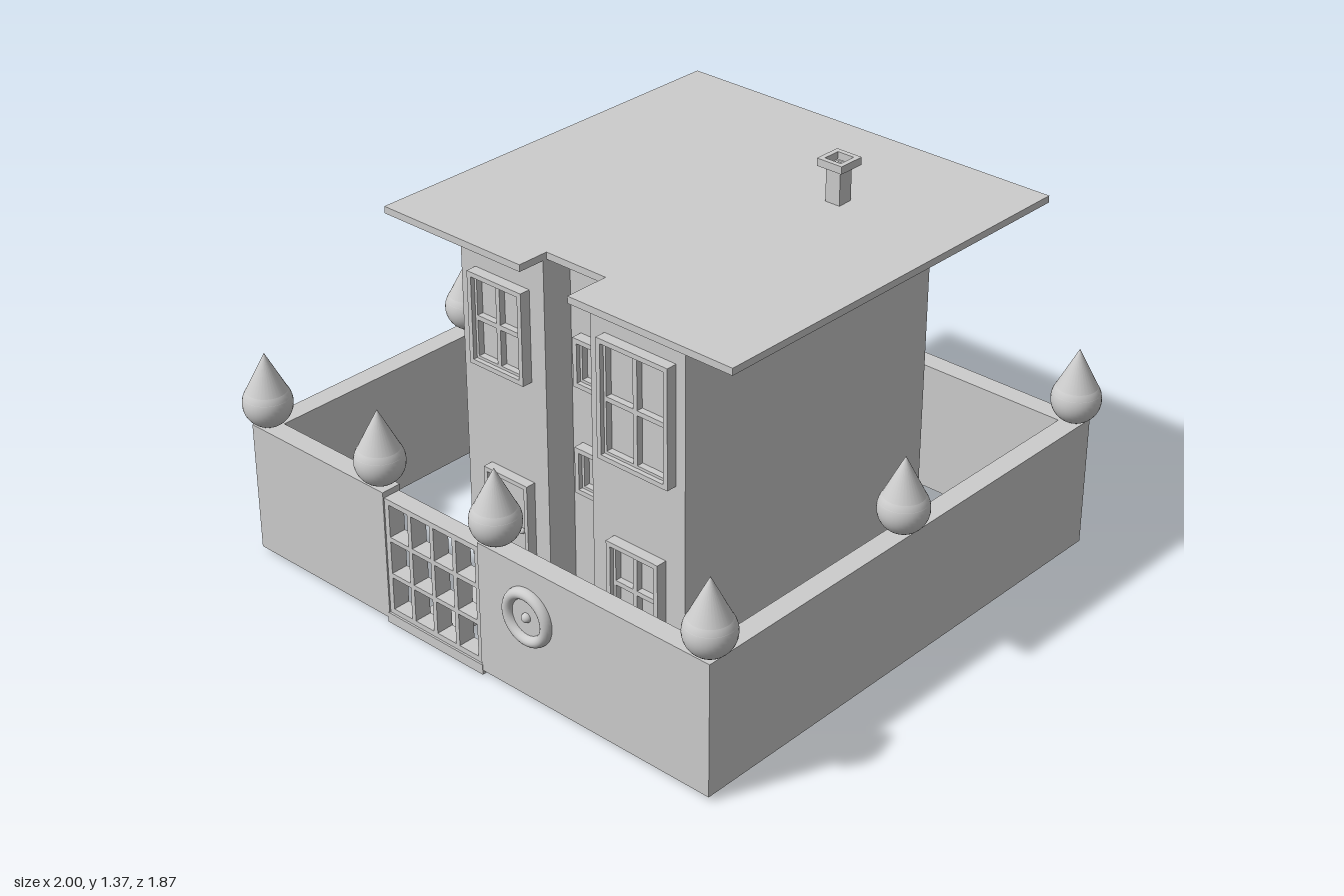
import * as THREE from 'three';

const stone = new THREE.MeshStandardMaterial({ color: 0xcccccc });
stone.name = 'light grey stone';

export function createModel() {
  const model = new THREE.Group();
  model.name = 'walledHouse';

  const add = (name, geometry, x = 0, y = 0, z = 0, parent = model) => {
    const mesh = new THREE.Mesh(geometry, stone);
    mesh.name = name;
    mesh.position.set(x, y, z);
    parent.add(mesh);
    return mesh;
  };
  // Box given by its two extreme corners
  const box = (name, x0, x1, y0, y1, z0, z1, parent = model) =>
    add(name, new THREE.BoxGeometry(x1 - x0, y1 - y0, z1 - z0),
      (x0 + x1) / 2, (y0 + y1) / 2, (z0 + z1) / 2, parent);
  // Floor plan [x, z] raised from y0 to y1
  const slab = (name, plan, y0, y1) => {
    const shape = new THREE.Shape(plan.map(([x, z]) => new THREE.Vector2(x, -z)));
    const geo = new THREE.ExtrudeGeometry(shape, { depth: y1 - y0, bevelEnabled: false });
    geo.rotateX(-Math.PI / 2);
    add(name, geo, 0, y0, 0);
  };
  const rect = (x0, x1, y0, y1, Type = THREE.Path) =>
    new Type([[x0, y0], [x1, y0], [x1, y1], [x0, y1]].map(p => new THREE.Vector2(...p)));

  // House body and overhanging roof share a plan with a front recess
  slab('houseBody', [[-0.385, -0.545], [0.56, -0.545], [0.56, 0.56], [0.195, 0.56],
    [0.195, 0.4], [-0.04, 0.4], [-0.04, 0.51], [-0.385, 0.51]], 0.05, 1.205);
  slab('roof', [[-0.61, -0.79], [0.81, -0.79], [0.81, 0.65], [0.195, 0.65],
    [0.195, 0.495], [-0.04, 0.495], [-0.04, 0.605], [-0.61, 0.605]], 1.205, 1.228);

  // Hollow chimney with a wider cap
  const tube = (name, r, hole, y0, y1) => {
    const shape = rect(-r, r, -r, r, THREE.Shape);
    shape.holes.push(rect(-hole, hole, -hole, hole));
    const geo = new THREE.ExtrudeGeometry(shape, { depth: y1 - y0, bevelEnabled: false });
    geo.rotateX(-Math.PI / 2);
    add(name, geo, 0.364, y0, -0.335);
  };
  tube('chimneyShaft', 0.027, 0.018, 1.22, 1.345);
  tube('chimneyCap', 0.047, 0.03, 1.345, 1.37);
  box('chimneyFlue', 0.34, 0.388, 1.225, 1.335, -0.359, -0.311);

  // Window: deep outer trim and a shallower sash with panes
  const grille = (name, x0, x1, y0, y1, edge, cols, rows, bar, z, depth, parent) => {
    const shape = rect(x0, x1, y0, y1, THREE.Shape);
    const w = (x1 - x0 - 2 * edge - (cols - 1) * bar) / cols;
    const h = (y1 - y0 - 2 * edge - (rows - 1) * bar) / rows;
    for (let i = 0; i < cols; i++) for (let j = 0; j < rows; j++) {
      const x = x0 + edge + i * (w + bar), y = y0 + edge + j * (h + bar);
      shape.holes.push(rect(x, x + w, y, y + h));
    }
    add(name, new THREE.ExtrudeGeometry(shape, { depth, bevelEnabled: false }), 0, 0, z, parent);
  };
  const windowUnit = (name, x0, x1, y0, y1, z, cols, rows) => {
    const g = new THREE.Group();
    g.name = name;
    model.add(g);
    grille('windowTrim', x0, x1, y0, y1, 0.016, 1, 1, 0, z, 0.037, g);
    grille('windowSash', x0 + 0.016, x1 - 0.016, y0 + 0.016, y1 - 0.016,
      0.009, cols, rows, 0.016, z, 0.022, g);
  };
  windowUnit('upperLeftWindow', -0.325, -0.1, 0.78, 1.09, 0.51, 2, 2);
  windowUnit('upperRightWindow', 0.25, 0.525, 0.7, 1.097, 0.56, 2, 2);
  windowUnit('lowerRightWindow', 0.28, 0.485, 0.14, 0.43, 0.56, 2, 2);
  windowUnit('upperRecessWindow', 0.0, 0.155, 0.775, 0.94, 0.4, 1, 1);
  windowUnit('lowerRecessWindow', 0.0, 0.155, 0.405, 0.565, 0.4, 1, 1);

  // Front door, knob and path
  grille('doorFrame', -0.285, -0.1, 0.05, 0.43, 0.014, 1, 1, 0, 0.51, 0.035);
  box('doorPanel', -0.272, -0.113, 0.062, 0.418, 0.5, 0.522);
  add('doorKnob', new THREE.SphereGeometry(0.01, 16, 12), -0.14, 0.25, 0.53);
  box('path', -0.27, -0.115, 0.03, 0.05, 0.5, 0.83);

  // Boundary wall with a gate opening
  const y0 = 0.015, y1 = 0.465;
  for (const s of [-1, 1]) box('sideWall', s * 0.92 - 0.035, s * 0.92 + 0.035, y0, y1, -0.89, 0.897);
  box('backWall', -0.885, 0.885, y0, y1, -0.89, -0.82);
  box('frontWallRight', -0.885, -0.355, y0, y1, 0.827, 0.897);
  box('frontWallLeft', 0.05, 0.885, y0, y1, 0.827, 0.897);

  // Lattice gate on a threshold
  box('gateThreshold', -0.36, 0.055, 0, 0.035, 0.827, 0.899);
  grille('gateLattice', -0.355, 0.05, 0.035, 0.445, 0.018, 4, 3, 0.016, 0.832, 0.06);

  // Round ornament on the front wall
  const ring = new THREE.TorusGeometry(0.078, 0.019, 20, 48);
  ring.scale(1, 1, 1.2);
  add('ornamentRing', ring, 0.255, 0.3, 0.899);
  const disc = new THREE.CylinderGeometry(0.07, 0.07, 0.008, 40);
  disc.rotateX(Math.PI / 2);
  add('ornamentDisc', disc, 0.255, 0.3, 0.899);
  add('ornamentButton', new THREE.SphereGeometry(0.016, 20, 14), 0.255, 0.3, 0.904);

  // Ball and cone finials along the wall
  const ball = new THREE.SphereGeometry(0.08, 32, 24);
  const cone = new THREE.ConeGeometry(0.076, 0.15, 32);
  const spots = [[-0.92, -0.857], [0.01, -0.857], [0.92, -0.857], [-0.92, -0.01], [0.92, 0.01],
    [-0.92, 0.857], [-0.405, 0.857], [0.09, 0.857], [0.92, 0.857]];
  for (const [x, z] of spots) {
    const finial = new THREE.Group();
    finial.name = 'finial';
    finial.position.set(x, 0, z);
    model.add(finial);
    add('finialBall', ball, 0, 0.542, 0, finial);
    add('finialCone', cone, 0, 0.642, 0, finial);
  }
  return model;
}
